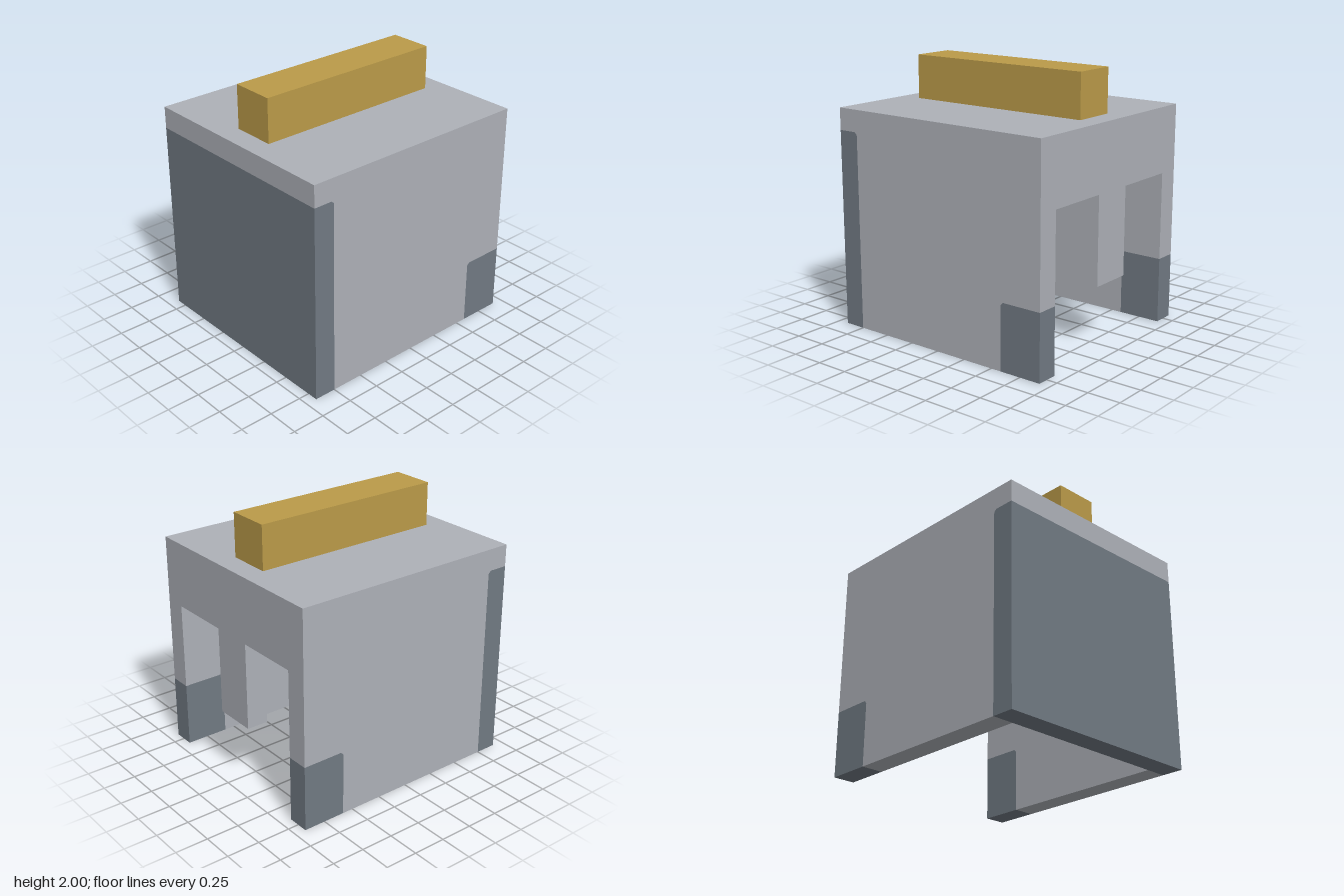
import * as THREE from 'three';

const U = 1 / 6; // wall thickness and base module
const W = 5 * U, D = 5.5 * U, H = 10 * U; // half width, half depth, shell height
const C = 0.02; // clipped corner of the painted trim

export function createModel() {
  const material = (name, color) => {
    const m = new THREE.MeshStandardMaterial({ color });
    m.name = name;
    return m;
  };
  const steel = material('lightSteel', 0xaeb1b8);
  const trim = material('darkTrim', 0x717a83);
  const gold = material('goldCrest', 0xbb9b49);

  const model = new THREE.Group();
  model.name = 'helmet';

  // Box given by its lower and upper corners
  const box = (name, mat, [x0, y0, z0], [x1, y1, z1], parent = model) => {
    const mesh = new THREE.Mesh(new THREE.BoxGeometry(x1 - x0, y1 - y0, z1 - z0), mat);
    mesh.position.set((x0 + x1) / 2, (y0 + y1) / 2, (z0 + z1) / 2);
    mesh.name = name;
    parent.add(mesh);
  };

  // Slab one wall thick, outlined in (z, y)
  const slab = (name, mat, points, parent) => {
    const shape = new THREE.Shape(points.map(([z, y]) => new THREE.Vector2(z, y)));
    const geo = new THREE.ExtrudeGeometry(shape, { depth: U, bevelEnabled: false });
    geo.rotateY(-Math.PI / 2);
    const mesh = new THREE.Mesh(geo, mat);
    mesh.name = name;
    parent.add(mesh);
  };

  // Roof and crest
  box('roof', steel, [-W, 9 * U, -D], [W, H, D]);
  box('crest', gold, [-U, H, -4.5 * U], [U, 12 * U, 4.5 * U]);

  // Side walls with a dark front edge and a dark rear corner
  const zf = D - U, zb = -D + 2 * U, yf = 9 * U, yb = 3 * U;
  const frontEdge = [[zf, yf - C], [zf + C, yf]];
  const rearEdge = [[-D, yb], [zb - C, yb], [zb, yb - C], [zb, 0]];
  for (const [name, x] of [['leftWall', W], ['rightWall', -W + U]]) {
    const wall = new THREE.Group();
    wall.name = name;
    wall.position.x = x;
    slab('sidePanel', steel, [...rearEdge, [zf, 0], ...frontEdge, [-D, yf]], wall);
    slab('frontTrim', trim, [[zf, 0], [D, 0], [D, yf], ...[...frontEdge].reverse()], wall);
    slab('rearTrim', trim, [[-D, 0], ...[...rearEdge].reverse()], wall);
    model.add(wall);
  }

  // Solid front plate between the side walls
  box('frontPlate', trim, [-W + U, 0, zf], [W - U, yf, D]);

  // Rear face: lintel with a hanging bar between two openings
  const a = W - U, y = 7 * U;
  const outline = [[-a, yf], [-a, y], [-U, y], [-U, yb], [U, yb], [U, y], [a, y], [a, yf]];
  const rear = new THREE.Mesh(
    new THREE.ExtrudeGeometry(
      new THREE.Shape(outline.map(([px, py]) => new THREE.Vector2(px, py))),
      { depth: U, bevelEnabled: false }
    ),
    steel
  );
  rear.name = 'rearGuard';
  rear.position.z = -D;
  model.add(rear);

  return model;
}
